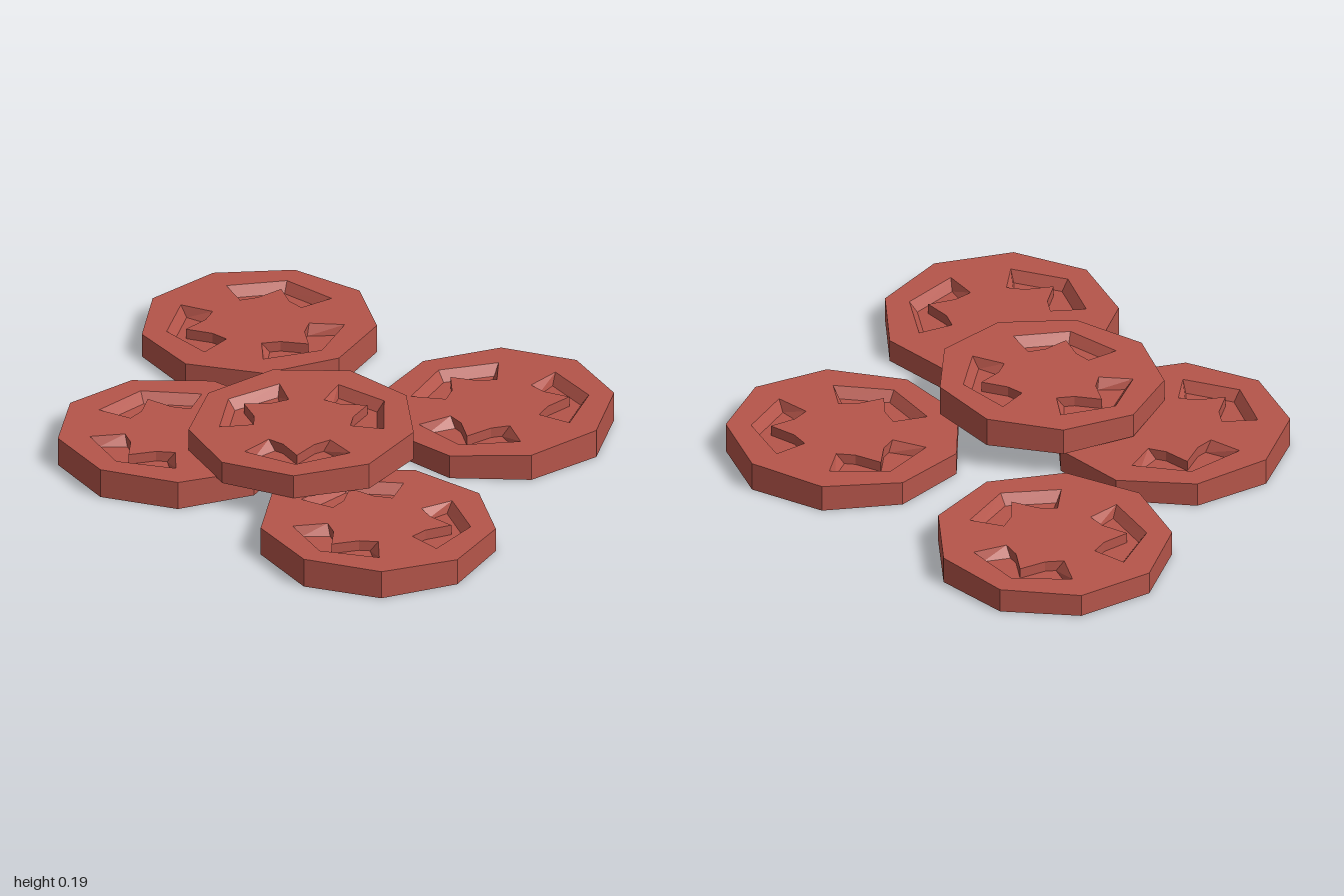
import * as THREE from 'three';
import { mergeGeometries } from 'three/addons/utils/BufferGeometryUtils.js';

const R = 0.39, SIDES = 9, MID = 0.088, DEPTH = 0.035, SLOPE = 0.032;

// Height of the gently sloping top face, lowered by d
const topY = (x, d = 0) => MID + SLOPE * x - d;

// Loops are plan points (x, -z), counter-clockwise seen from above
const ring = Array.from({ length: SIDES }, (_, i) => {
  const a = (i / SIDES) * Math.PI * 2;
  return new THREE.Vector2(R * Math.cos(a), R * Math.sin(a));
});

// Mirrors a half outline (outer tip first, notch last) and turns it by an angle
function pocketLoop(half, angle) {
  const mirrored = half.slice(1, -1).reverse().map(([x, y]) => [x, -y]);
  return [...half, ...mirrored].map(([x, y]) =>
    new THREE.Vector2(x, y).rotateAround(new THREE.Vector2(), angle));
}
const rimHalf = [[0.307, 0], [0.22, 0.18], [0.13, 0.105], [0.165, 0.053], [0.243, 0]];
const floorHalf = [[0.28, 0], [0.207, 0.152], [0.145, 0.083], [0.165, 0.053], [0.243, 0]];

// Flat cap over a loop, with optional holes, at a height given by yOf(x)
function cap(loop, holes, yOf) {
  const shape = new THREE.Shape(loop);
  shape.holes = holes.map((h) => new THREE.Path(h));
  const geo = new THREE.ShapeGeometry(shape).rotateX(-Math.PI / 2).toNonIndexed();
  const p = geo.attributes.position;
  for (let i = 0; i < p.count; i++) p.setY(i, yOf(p.getX(i)));
  geo.deleteAttribute('uv');
  geo.computeVertexNormals();
  return geo;
}

// Strip of quads joining a lower loop to an upper loop
function wall(low, lowY, high, highY) {
  const pos = [];
  const put = (v, yOf) => pos.push(v.x, yOf(v.x), -v.y);
  low.forEach((a, i) => {
    const j = (i + 1) % low.length;
    put(a, lowY); put(low[j], lowY); put(high[j], highY);
    put(a, lowY); put(high[j], highY); put(high[i], highY);
  });
  const geo = new THREE.BufferGeometry();
  geo.setAttribute('position', new THREE.Float32BufferAttribute(pos, 3));
  geo.computeVertexNormals();
  return geo;
}

function sliceGeometry() {
  const angles = [0, 1, 2].map((k) => (k * Math.PI * 2) / 3);
  const rims = angles.map((a) => pocketLoop(rimHalf, a));
  const floors = angles.map((a) => pocketLoop(floorHalf, a));
  const top = (x) => topY(x), floorY = (x) => topY(x, DEPTH), ground = () => 0;
  const parts = [
    cap(ring, rims, top),
    wall(ring, ground, ring, top),
    new THREE.CircleGeometry(R, SIDES).rotateX(Math.PI / 2).toNonIndexed(),
  ];
  parts[2].deleteAttribute('uv');
  // Seed pockets: sunken floor and sloping outer walls
  rims.forEach((rim, k) => {
    parts.push(cap(floors[k], [], floorY));
    parts.push(wall([...floors[k]].reverse(), floorY, [...rim].reverse(), top));
  });
  return mergeGeometries(parts);
}

export function createModel() {
  const group = new THREE.Group();
  group.name = 'tomatoSlices';
  const material = new THREE.MeshStandardMaterial({ color: 0xb5554a, flatShading: true });
  const geometry = sliceGeometry();

  // name, x, y, z, heading of the thick side in degrees (from +x towards +z), width scale
  const slices = [
    ['backRightSlice', -0.617, 0, -0.36, 6, 1],
    ['backLeftSlice', 0.349, 0, -0.438, -49, 1],
    ['frontRightSlice', -0.308, 0, 0.398, 87, 1],
    ['frontLeftSlice', 0.605, 0, 0.43, 86.5, 1],
    ['topSlice', 0.078, 0.09, 0.205, -67, 0.96],
  ];
  for (const [name, x, y, z, heading, scale] of slices) {
    const slice = new THREE.Mesh(geometry, material);
    slice.name = name;
    slice.position.set(x, y, z);
    slice.rotation.y = -THREE.MathUtils.degToRad(heading);
    slice.scale.set(scale, 1, scale);
    group.add(slice);
  }
  return group;
}
